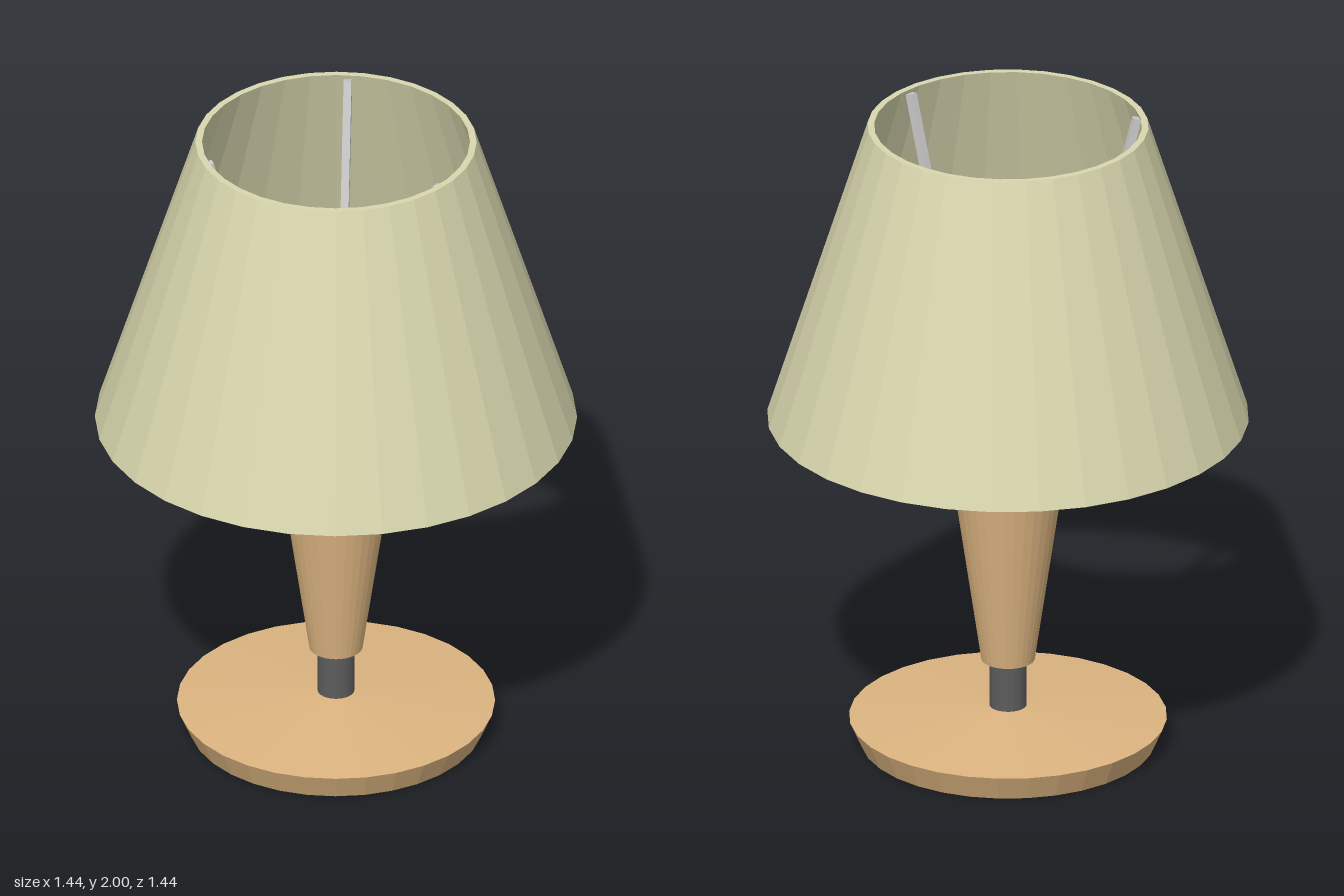
import * as THREE from 'three';

const SIDES = 32;
const material = (color) => new THREE.MeshStandardMaterial({ color, flatShading: true });

export function createModel() {
  const lamp = new THREE.Group();
  lamp.name = 'tableLamp';
  const wood = material(0xdcb480);
  const fabric = material(0xd9d7ae);
  const darkMetal = material(0x5c5c5c);
  const metal = material(0xcccccc);

  // Turned part from [radius, height] points, outside listed upwards
  const turned = (name, points, mat) => {
    const profile = points.map(([r, y]) => new THREE.Vector2(r, y));
    const mesh = new THREE.Mesh(new THREE.LatheGeometry(profile, SIDES), mat);
    mesh.name = name;
    lamp.add(mesh);
  };

  // Square bar between two points
  const bar = (parent, a, b, size) => {
    const mesh = new THREE.Mesh(new THREE.BoxGeometry(size, size, a.distanceTo(b) + size * 0.7), metal);
    mesh.position.copy(a).add(b).multiplyScalar(0.5);
    mesh.lookAt(b);
    parent.add(mesh);
  };

  // Base, stem and tapered body
  turned('base', [[0, 0], [0.44, 0], [0.475, 0.08], [0.05, 0.115], [0, 0.115]], wood);
  turned('stem', [[0.055, 0.1], [0.055, 0.28]], darkMetal);
  turned('body', [[0, 0.265], [0.08, 0.265], [0.187, 0.995], [0.04, 1.045], [0, 1.045]], wood);

  // Hollow neck and bulb socket
  turned('neck', [[0.042, 1.03], [0.042, 1.17], [0.038, 1.17], [0.038, 1.03]], darkMetal);
  turned('socket', [
    [0.038, 1.145], [0.055, 1.145], [0.09, 1.19], [0.105, 1.215], [0.105, 1.245], [0.092, 1.25],
    [0.092, 1.275], [0.1, 1.28], [0.1, 1.295], [0.092, 1.3], [0.092, 1.355], [0.085, 1.365],
    [0.075, 1.365], [0.075, 1.19], [0.038, 1.17], [0.038, 1.145],
  ], darkMetal);

  // Ring and three bent arms that carry the shade
  turned('shadeRing', [[0.092, 1.25], [0.11, 1.25], [0.11, 1.272], [0.092, 1.272]], metal);
  [-85, 39, 164].forEach((degrees) => {
    const arm = new THREE.Group();
    arm.name = 'shadeArm';
    const angle = THREE.MathUtils.degToRad(degrees);
    const at = (r, y) => new THREE.Vector3(r * Math.cos(angle), y, r * Math.sin(angle));
    bar(arm, at(0.105, 1.26), at(0.205, 1.26), 0.024);
    bar(arm, at(0.205, 1.26), at(0.392, 1.98), 0.024);
    lamp.add(arm);
  });

  // Shade with wall thickness, open at both ends
  turned('shade', [[0.703, 1.055], [0.72, 1.055], [0.42, 2], [0.4, 2], [0.703, 1.055]], fabric);

  return lamp;
}
